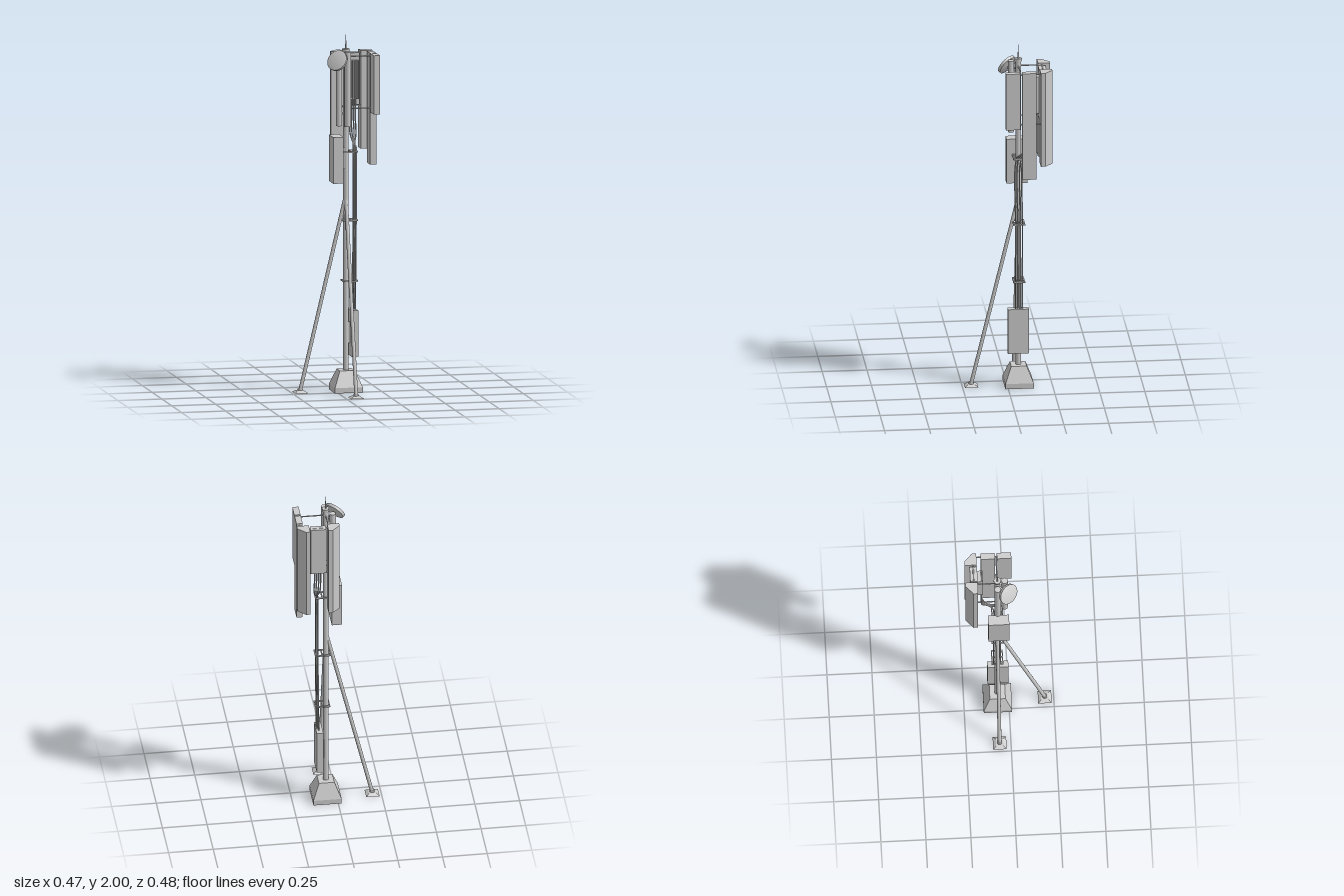
import * as THREE from 'three';

const V = (x, y, z) => new THREE.Vector3(x, y, z);
const PX = 0.06, PZ = -0.063; // mast axis

export function createModel() {
  const model = new THREE.Group();
  const smooth = new THREE.MeshStandardMaterial({ color: 0xcccccc });
  const flat = new THREE.MeshStandardMaterial({ color: 0xcccccc, flatShading: true });

  const add = (name, geometry, material = smooth) => {
    const mesh = new THREE.Mesh(geometry, material);
    mesh.name = name;
    model.add(mesh);
    return mesh;
  };
  // box given by its limits on each axis
  const box = (name, x0, x1, y0, y1, z0, z1) =>
    add(name, new THREE.BoxGeometry(x1 - x0, y1 - y0, z1 - z0), flat)
      .position.set((x0 + x1) / 2, (y0 + y1) / 2, (z0 + z1) / 2);
  // round bar between two points
  const rod = (name, a, b, r, r2 = r, sides = 20) => {
    const d = b.clone().sub(a);
    const m = add(name, new THREE.CylinderGeometry(r2, r, d.length(), sides));
    m.position.copy(a).addScaledVector(d, 0.5);
    m.quaternion.setFromUnitVectors(V(0, 1, 0), d.normalize());
    return m;
  };
  // square block tapering from half-width a to b
  const frustum = (name, x, z, y0, y1, a, b) => {
    const g = new THREE.CylinderGeometry(b * Math.SQRT2, a * Math.SQRT2, y1 - y0, 4);
    g.rotateY(Math.PI / 4);
    add(name, g, flat).position.set(x, (y0 + y1) / 2, z);
  };

  // footing and mast
  frustum('footingSlab', PX, PZ, 0, 0.03, 0.079, 0.079);
  frustum('footingTaper', PX, PZ, 0.03, 0.12, 0.079, 0.043);
  rod('mast', V(PX, 0.1, PZ), V(PX, 1.91, PZ), 0.016, 0.016, 28);
  rod('mastCap', V(PX, 1.905, PZ), V(PX, 1.922, PZ), 0.02, 0.02, 28);
  rod('lightningRodBase', V(PX, 1.92, PZ), V(PX, 1.95, PZ), 0.005);
  rod('lightningRod', V(PX, 1.95, PZ), V(PX, 2, PZ), 0.003, 0.001);

  // two bracing legs with foot plates
  for (const [x, z] of [[-0.2, PZ], [PX, 0.2]]) {
    rod('braceLeg', V(x, 0.01, z), V(PX, 1.1, PZ), 0.0105);
    frustum('footPlate', x, z, 0, 0.012, 0.0375, 0.02);
    rod('footSocket', V(x, 0.008, z), V(x, 0.022, z), 0.014);
  }

  // pipe antennas beside the mast
  for (const [x, z, top] of [[0.021, PZ, 1.885], [0.062, -0.022, 1.91]]) {
    rod('pipeAntenna', V(x, 1.49, z), V(x, top, z), 0.0175, 0.0175, 28);
    for (const y of [1.56, 1.84]) rod('pipeBracket', V(x, y, z), V(PX, y, PZ), 0.006);
  }

  // panel antennas with one chamfered outer corner, mirrored about the frame centre
  const cx = 0.1185;
  for (const s of [-1, 1]) {
    const pts = [[0.051, 0.24], [0.074, 0.24], [0.1185, 0.197], [0.1185, 0.172], [0.051, 0.172]]
      .map(([x, z]) => new THREE.Vector2(cx + s * x, z));
    const g = new THREE.ExtrudeGeometry(new THREE.Shape(pts), { depth: 0.55, bevelEnabled: false });
    g.rotateX(-Math.PI / 2);
    add('chamferedPanel', g, flat).position.y = 1.34;
  }
  box('longSidePanel', 0.2, 0.235, 1.265, 1.89, -0.148, -0.069);
  box('shortSidePanel', 0.2, 0.235, 1.56, 1.89, -0.058, 0.022);

  // mounting frame, upper and lower
  for (const y of [1.585, 1.878]) {
    rod('sideArm', V(PX, y, PZ), V(0.218, y, PZ), 0.0035);
    rod('rearArm', V(PX, y, PZ), V(PX, y, -0.2), 0.0035);
    rod('rearRail', V(0.05, y, -0.193), V(0.19, y, -0.193), 0.004);
    rod('sideRail', V(0.218, y, -0.19), V(0.218, y, -0.03), 0.004);
  }

  // radio unit with cooling fins
  box('radioUnit', 0.077, 0.163, 1.59, 1.88, -0.212, -0.171);
  box('radioCore', 0.088, 0.153, 1.625, 1.84, -0.171, -0.152);
  for (let i = 0; i < 11; i++) {
    const x = 0.088 + i * 0.0062;
    box('coolingFin', x, x + 0.003, 1.625, 1.84, -0.153, -0.142);
  }

  // equipment cabinets
  box('upperCabinet', -0.025, 0.033, 1.175, 1.435, -0.117, 0);
  box('upperCabinetMount', 0.03, 0.05, 1.25, 1.37, -0.075, -0.05);
  box('lowerCabinet', 0.08, 0.117, 0.2, 0.46, -0.117, 0);
  box('lowerCabinetMount', 0.07, 0.085, 0.27, 0.39, -0.075, -0.05);

  // cables from radio unit to lower cabinet
  for (let i = 0; i < 4; i++) {
    const x = 0.1 + i * 0.011, z = -0.082 + i * 0.013, xe = 0.106 + (i % 2) * 0.008;
    const path = new THREE.CatmullRomCurve3([
      V(x, 1.63, -0.15), V(x, 1.52, -0.15), V(x + 0.003, 1.43, -0.145), V(xe + 0.008, 1.38, -0.115),
      V(xe + 0.004, 1.365, z - 0.015), V(xe, 1.32, z), V(xe, 0.96, z), V(xe - 0.003, 0.62, z), V(xe - 0.005, 0.45, z),
    ], false, 'centripetal');
    add('cable', new THREE.TubeGeometry(path, 80, 0.0038, 8));
  }

  // cable clamps around mast and cables
  for (const y of [0.62, 0.96, 1.345]) {
    const [y0, y1] = [y - 0.004, y + 0.004];
    for (const z of [-0.093, -0.033]) box('clampSide', 0.038, 0.123, y0, y1, z - 0.003, z + 0.003);
    for (const x of [0.041, 0.083, 0.12]) box('clampEnd', x - 0.003, x + 0.003, y0, y1, -0.093, -0.033);
  }

  // dish with shallow domed cover, aimed outward and up
  const centre = V(0, 1.864, -0.006), aim = V(-0.61, 0.5, 0.61).normalize();
  const profile = [[0, -0.016], [0.03, -0.014], [0.058, -0.008], [0.058, -0.008], [0.06, 0.008], [0.06, 0.008],
    [0.045, 0.012], [0.02, 0.0145], [0, 0.015]].map(([x, y]) => new THREE.Vector2(x, y));
  const dish = add('dish', new THREE.LatheGeometry(profile, 40));
  dish.position.copy(centre);
  dish.quaternion.setFromUnitVectors(V(0, 1, 0), aim);
  const hub = centre.clone().addScaledVector(aim, -0.03);
  rod('dishHub', hub, centre, 0.012);
  for (const y of [1.82, 1.86]) rod('dishStrut', hub, V(PX, y, PZ), 0.005);

  return model;
}
